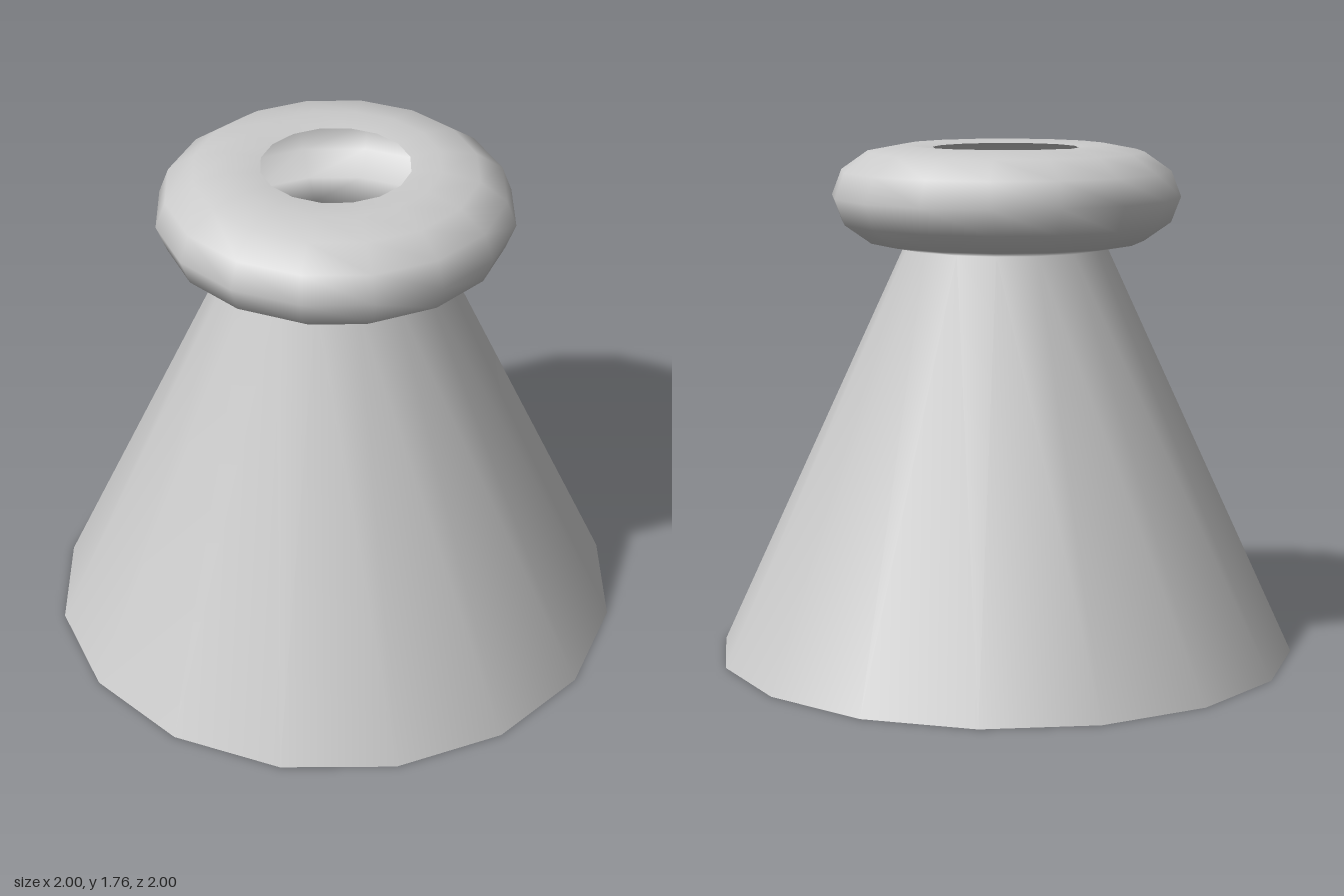
import * as THREE from 'three';

export function createModel() {
  const group = new THREE.Group();
  const material = new THREE.MeshStandardMaterial({ color: 0xcccccc, side: THREE.DoubleSide });

  // Flared skirt from the open base up to the neck
  const profile = [new THREE.Vector2(1, 0)];

  // Rounded collar: half an ellipse, from the neck round to the top
  for (let i = 0; i <= 6; i++) {
    const a = -Math.PI / 2 + (i * Math.PI) / 6;
    profile.push(new THREE.Vector2(0.35 + 0.25 * Math.cos(a), 1.585 + 0.175 * Math.sin(a)));
  }

  // Open rim of the hole
  profile.push(new THREE.Vector2(0.25, 1.75));

  const shell = new THREE.Mesh(new THREE.LatheGeometry(profile, 16), material);
  shell.name = 'flaredShellWithCollar';
  group.add(shell);
  return group;
}
